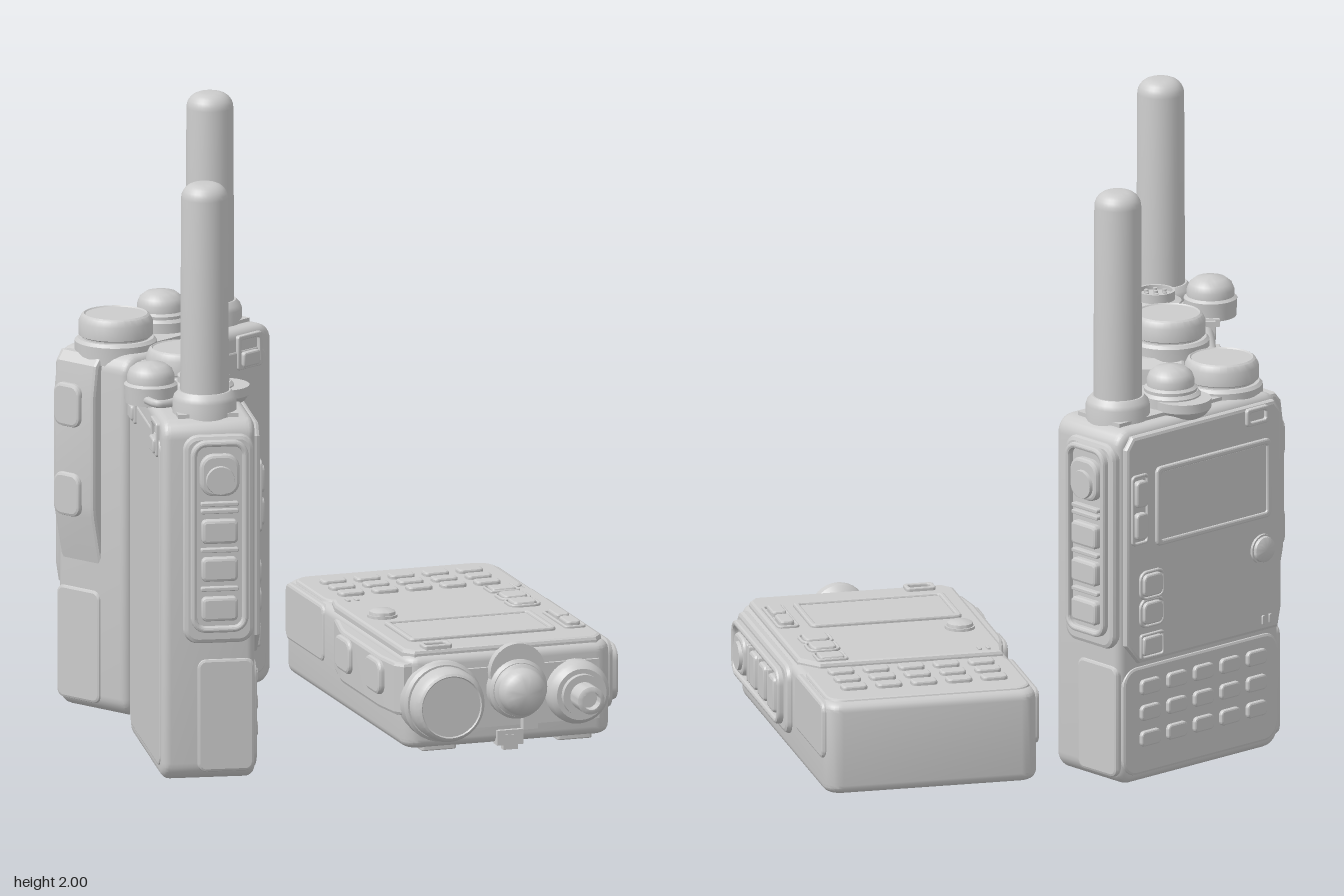
import * as THREE from 'three';
import { toCreasedNormals } from 'three/addons/utils/BufferGeometryUtils.js';

const grey = new THREE.MeshStandardMaterial({ color: 0xcccccc });

function add(parent, name, geo, x = 0, y = 0, z = 0) {
  const m = new THREE.Mesh(geo, grey);
  m.name = name;
  m.position.set(x, y, z);
  parent.add(m);
  return m;
}

function roundRect(Type, w, h, r) {
  const s = new Type(), x = w / 2, y = h / 2;
  s.moveTo(-x + r, -y);
  s.lineTo(x - r, -y); s.absarc(x - r, -y + r, r, -Math.PI / 2, 0);
  s.lineTo(x, y - r); s.absarc(x - r, y - r, r, 0, Math.PI / 2);
  s.lineTo(-x + r, y); s.absarc(-x + r, y - r, r, Math.PI / 2, Math.PI);
  s.lineTo(-x, -y + r); s.absarc(-x + r, -y + r, r, Math.PI, Math.PI * 1.5);
  return s;
}

// Bevelled slab whose front face lies at z = d; wide bevels get more steps
function slab(shape, d, b) {
  const g = new THREE.ExtrudeGeometry(shape, {
    depth: d - b, bevelSize: b, bevelOffset: -b, bevelThickness: b,
    bevelSegments: b > 0.02 ? 5 : 2, curveSegments: 3,
  });
  return toCreasedNormals(g, 0.35);
}
const plate = (w, h, r, d, b = 0.006) => slab(roundRect(THREE.Shape, w, h, r), d, b);
function frame(w, h, r, d, t, b = 0.004) {
  const s = roundRect(THREE.Shape, w, h, r);
  s.holes.push(roundRect(THREE.Path, w - 2 * t, h - 2 * t, Math.max(r - t, 0.008)));
  return slab(s, d, b);
}
function polygon(pts) {
  return new THREE.Shape(pts.map(p => new THREE.Vector2(p[0], p[1])));
}
function lathe(pts) {
  return toCreasedNormals(new THREE.LatheGeometry(pts.map(p => new THREE.Vector2(p[0], p[1])), 32), 0.55);
}
function face(parent, name, x, z, angle) {
  const g = new THREE.Group();
  g.name = name;
  g.position.set(x, 0, z);
  g.rotation.y = angle;
  parent.add(g);
  return g;
}

function body(radio) {
  const shell = roundRect(THREE.Shape, 0.72, 1.21, 0.06);
  add(radio, 'bodyShell', slab(shell, 0.28, 0.03), 0, 0.625, -0.13);
  add(radio, 'topDeck', new THREE.BoxGeometry(0.62, 0.04, 0.2), 0, 1.222, 0);
  // raised upper front panel with a slanted lower corner
  const p = polygon([[-0.28, 0.43], [0.335, 0.43], [0.35, 0.5], [0.35, 1.17], [0.32, 1.21], [-0.31, 1.21], [-0.34, 1.17], [-0.34, 0.5]]);
  add(radio, 'frontPanel', slab(p, 0.03, 0.012), 0, 0, 0.138);
  add(radio, 'keypadPanel', plate(0.69, 0.37, 0.06, 0.02, 0.01), 0, 0.232, 0.137);
}

function controls(radio) {
  const f = face(radio, 'frontControls', 0, 0.145, 0);
  add(f, 'screenFrame', frame(0.51, 0.27, 0.02, 0.035, 0.02, 0.006), 0.04, 0.955);
  add(f, 'screen', plate(0.48, 0.24, 0.012, 0.028), 0.04, 0.955);
  add(f, 'sideKeyFrame', frame(0.075, 0.24, 0.016, 0.032, 0.01), -0.285, 0.96);
  for (const y of [1.015, 0.905]) add(f, 'sideKey', plate(0.05, 0.09, 0.015, 0.042), -0.285, y);
  for (const y of [0.695, 0.6]) {
    add(f, 'functionKeyFrame', frame(0.11, 0.1, 0.03, 0.032, 0.01), -0.232, y);
    add(f, 'functionKey', plate(0.084, 0.075, 0.02, 0.038), -0.232, y);
  }
  add(f, 'functionKeyFrame', frame(0.105, 0.085, 0.01, 0.032, 0.008), -0.232, 0.488);
  add(f, 'functionKey', plate(0.082, 0.062, 0.01, 0.036), -0.232, 0.488);
  const knob = lathe([[0.05, 0], [0.05, 0.032], [0.044, 0.032], [0.042, 0.042], [0.03, 0.048], [0, 0.05]]);
  add(f, 'roundButton', knob, 0.26, 0.715).rotation.x = Math.PI / 2;
  for (const x of [0.265, 0.295]) add(f, 'marker', plate(0.012, 0.032, 0.004, 0.029, 0.002), x, 0.47);
  // number keys
  const key = plate(0.086, 0.052, 0.016, 0.026);
  for (let r = 0; r < 3; r++) for (let c = -2; c <= 2; c++)
    add(f, 'numberKey', key, 0.005 + c * 0.118, 0.345 - r * 0.088);
  add(f, 'knobTab', frame(0.1, 0.06, 0.012, 0.035, 0.014), 0.235, 1.175);
}

function sides(radio) {
  // talk-button side
  const l = face(radio, 'buttonSide', -0.35, 0.025, -Math.PI / 2);
  add(l, 'sidePad', plate(0.235, 0.7, 0.05, 0.03, 0.015), 0, 0.835);
  add(l, 'sideRim', frame(0.19, 0.645, 0.05, 0.052, 0.02, 0.008), 0, 0.848);
  add(l, 'talkButton', plate(0.13, 0.14, 0.045, 0.055, 0.01), 0, 1.055);
  const round = new THREE.CylinderGeometry(0.046, 0.05, 0.02, 28);
  add(l, 'roundSideButton', round, 0, 1.04, 0.056).rotation.x = Math.PI / 2;
  for (const y of [0.865, 0.738, 0.605]) add(l, 'squareSideButton', plate(0.12, 0.08, 0.016, 0.056, 0.01), 0, y);
  for (const y of [0.957, 0.933, 0.802, 0.672]) add(l, 'sideRib', plate(0.125, 0.014, 0.006, 0.05, 0.003), 0, y);
  // socket side: tapering housing with two covers
  const prof = polygon([[0.33, 0.5], [0.355, 0.5], [0.395, 0.68], [0.4, 0.72], [0.4, 1.08], [0.385, 1.19], [0.36, 1.22], [0.33, 1.22]]);
  add(radio, 'socketHousing', slab(prof, 0.165, 0.012), 0, 0, -0.035);
  const r = face(radio, 'socketSide', 0.385, -0.06 + 0.12, Math.PI / 2);
  for (const y of [1.05, 0.75]) add(r, 'socketCover', plate(0.115, 0.145, 0.035, 0.03, 0.01), 0, y);
  // lower cheeks on both sides
  for (const s of [-1, 1]) {
    const g = face(radio, 'cheek', s * 0.345, 0.05, s * Math.PI / 2);
    add(g, 'lowerCheek', plate(0.19, 0.38, 0.03, 0.022, 0.01), 0, 0.24);
  }
}

function back(radio) {
  const g = face(radio, 'backSide', 0, -0.15, Math.PI);
  add(g, 'batteryPlate', plate(0.64, 1.1, 0.04, 0.014, 0.006), 0, 0.61);
  for (const x of [-0.235, 0.235]) {
    add(g, 'latchFrame', frame(0.12, 0.115, 0.01, 0.022, 0.016), x, 1.155);
    add(g, 'latchTongue', plate(0.08, 0.05, 0.01, 0.03), x, 1.13);
  }
  add(g, 'topLatch', new THREE.BoxGeometry(0.09, 0.04, 0.05), 0, 1.225, -0.01);
  add(g, 'topLatchTongue', new THREE.BoxGeometry(0.05, 0.025, 0.05), 0, 1.235, 0.005);
}

const dome = [[0, 0], [0.085, 0], [0.088, 0.06], [0.078, 0.068], [0.078, 0.09], [0.07, 0.11], [0.05, 0.126], [0, 0.135]];

function topParts(radio, antenna, capOpen) {
  const t = new THREE.Group();
  t.name = 'topParts';
  t.position.y = 1.22;
  radio.add(t);
  // volume knob
  add(t, 'knobCollar', lathe([[0.135, -0.03], [0.135, 0.03], [0.125, 0.04], [0, 0.04]]), 0.236);
  add(t, 'volumeKnob', lathe([[0.112, 0.03], [0.112, 0.045], [0.122, 0.05], [0.122, 0.095], [0.112, 0.115], [0.104, 0.12], [0.1, 0.116], [0, 0.116]]), 0.236);
  // antenna base, with antenna or bare socket
  add(t, 'antennaCollar', lathe([[0.105, -0.04], [0.105, 0.055], [0.1, 0.07], [0.086, 0.085], [0, 0.085]]), -0.226);
  if (antenna) {
    const pts = [[0.08, 0.08], [0.077, 0.73]];
    for (let i = 1; i <= 5; i++) {
      const a = i * Math.PI / 12;
      pts.push([0.027 + 0.05 * Math.cos(a), 0.73 + 0.05 * Math.sin(a)]);
    }
    pts.push([0.027, 0.78], [0, 0.78]);
    add(t, 'antenna', lathe(pts), -0.226);
  } else {
    add(t, 'antennaSocket', lathe([[0.07, 0.08], [0.07, 0.105], [0.046, 0.105], [0.046, 0.18], [0.036, 0.185], [0.03, 0.185], [0.03, 0.15], [0, 0.15]]), -0.226);
  }
  // accessory connector, bulging over the front edge
  const bulge = lathe([[0, -0.03], [0.05, -0.02], [0.08, 0], [0.095, 0.02], [0.095, 0.05], [0, 0.05]]);
  add(t, 'connectorBase', bulge, -0.017, 0, 0.085);
  add(t, 'connectorRing', lathe([[0.1, 0], [0.1, 0.055], [0.09, 0.065], [0, 0.065]]), -0.017, 0, 0.028);
  if (capOpen) {
    add(t, 'connector', lathe([[0.085, 0.06], [0.085, 0.085], [0.064, 0.09], [0.064, 0.12], [0.055, 0.12], [0.055, 0.105], [0, 0.105]]), -0.017, 0, 0.028);
    for (let i = 0; i < 7; i++) {
      const a = i * Math.PI / 3, r = i < 6 ? 0.034 : 0;
      add(t, 'pin', new THREE.CylinderGeometry(0.007, 0.007, 0.014, 10), -0.017 + r * Math.cos(a), 0.11, 0.028 + r * Math.sin(a));
    }
    add(t, 'openCap', lathe(dome), -0.075, 0.015, -0.155);
    const path = new THREE.CatmullRomCurve3([
      new THREE.Vector3(-0.08, 0.04, -0.2), new THREE.Vector3(-0.2, 0.035, -0.15),
      new THREE.Vector3(-0.14, 0.03, -0.08), new THREE.Vector3(-0.06, 0.045, -0.06)]);
    add(t, 'capStrap', new THREE.TubeGeometry(path, 24, 0.014, 8));
  } else {
    add(t, 'connectorCap', lathe(dome), -0.017, 0.015, 0.028);
    add(t, 'capTab', new THREE.BoxGeometry(0.05, 0.03, 0.06), -0.06, 0.04, -0.08);
  }
}

function makeRadio(name, antenna, capOpen) {
  const radio = new THREE.Group();
  radio.name = name;
  for (const build of [body, controls, sides, back]) build(radio);
  topParts(radio, antenna, capOpen);
  return radio;
}

export function createModel() {
  const model = new THREE.Group();
  model.name = 'handheldRadios';
  const a = makeRadio('standingRadioOpenCap', true, true);
  a.position.set(-0.45, 0, 0.508);
  a.rotation.y = THREE.MathUtils.degToRad(100);
  const b = makeRadio('standingRadio', true, false);
  b.position.set(-0.57, 0, -0.38);
  b.rotation.y = THREE.MathUtils.degToRad(-130.5);
  // lying on its back, without antenna
  const c = makeRadio('lyingRadio', false, false);
  const s = Math.sin(0.358), k = Math.cos(0.358);
  c.quaternion.setFromRotationMatrix(new THREE.Matrix4().makeBasis(
    new THREE.Vector3(-k, 0, s), new THREE.Vector3(s, 0, k), new THREE.Vector3(0, 1, 0)));
  c.position.set(0.145, 0.18, -0.854);
  model.add(a, b, c);
  return model;
}
